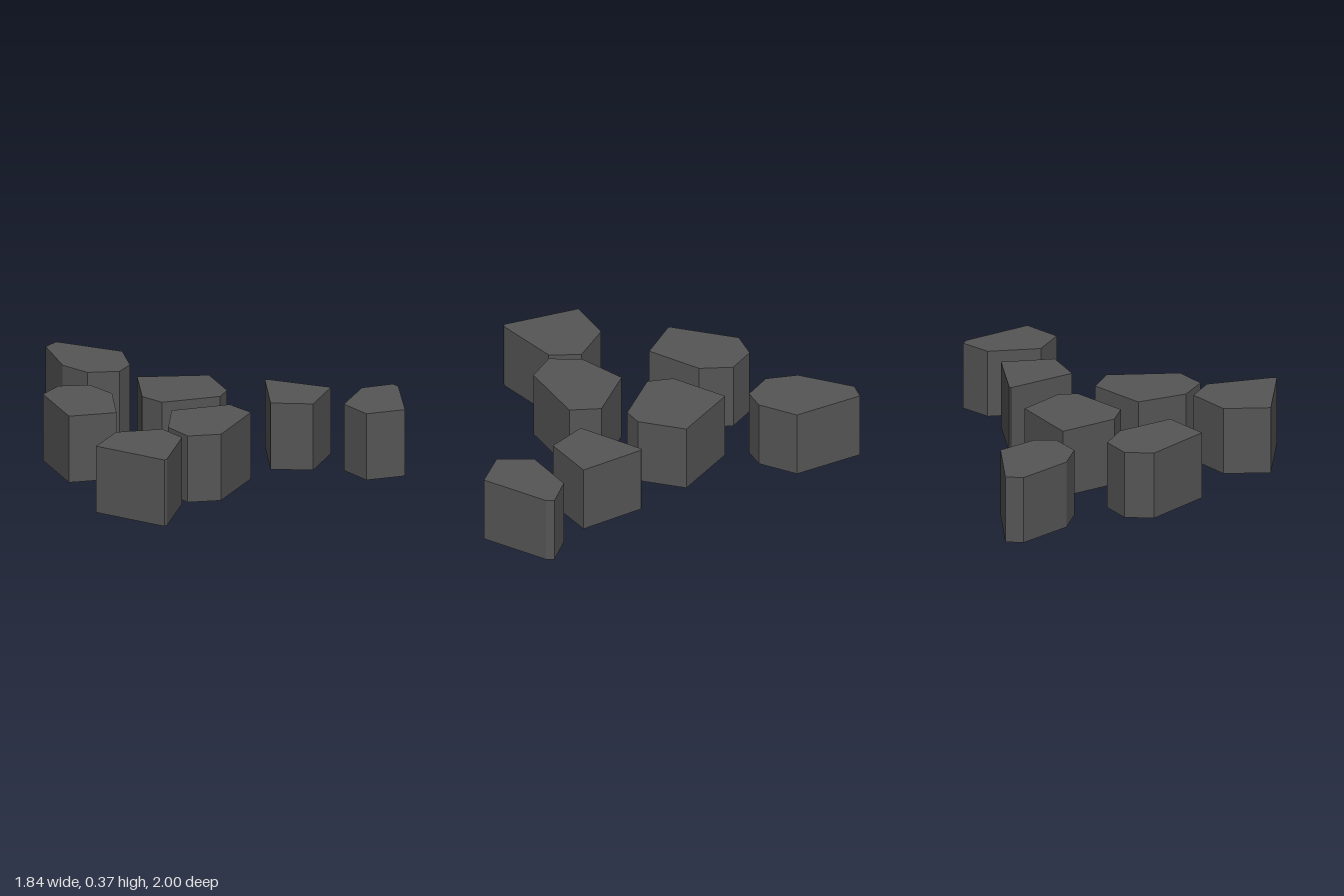
import * as THREE from 'three';

const HEIGHT = 0.37;

// Outline of each stone seen from above, as [x, z] corners
const outlines = {
  backStone: [[-0.51, -1], [-0.24, -0.73], [-0.28, -0.51], [-0.37, -0.43], [-0.535, -0.475], [-0.615, -0.63], [-0.59, -0.945]],
  middleRightStone: [[-0.755, -0.325], [-0.595, -0.28], [-0.535, -0.11], [-0.625, 0.19], [-0.88, 0.155], [-0.88, -0.23]],
  centreStone: [[-0.315, -0.315], [0.05, -0.205], [0.05, 0.06], [-0.02, 0.14], [-0.34, 0.12], [-0.405, -0.005]],
  innerLeftStone: [[0.298, -0.03], [0.312, -0.03], [0.58, 0.21], [0.395, 0.43], [0.19, 0.335]],
  outerLeftStone: [[0.73, 0.275], [0.905, 0.277], [0.918, 0.32], [0.815, 0.69], [0.6, 0.68], [0.545, 0.49]],
  frontCentreStone: [[-0.34, 0.26], [-0.02, 0.28], [0.04, 0.44], [-0.235, 0.715], [-0.41, 0.68], [-0.455, 0.51]],
  frontRightStone: [[-0.74, 0.485], [-0.495, 0.525], [-0.445, 0.69], [-0.645, 0.99], [-0.665, 1], [-0.92, 0.66]],
};

export function createModel() {
  const group = new THREE.Group();
  group.name = 'steppingStones';
  const material = new THREE.MeshStandardMaterial({ color: 0x555555, flatShading: true });

  // Each stone is a straight prism standing on the ground
  for (const [name, corners] of Object.entries(outlines)) {
    const shape = new THREE.Shape(corners.map(([x, z]) => new THREE.Vector2(x, -z)));
    const geometry = new THREE.ExtrudeGeometry(shape, { depth: HEIGHT, bevelEnabled: false });
    geometry.rotateX(-Math.PI / 2);
    const stone = new THREE.Mesh(geometry, material);
    stone.name = name;
    group.add(stone);
  }
  return group;
}
